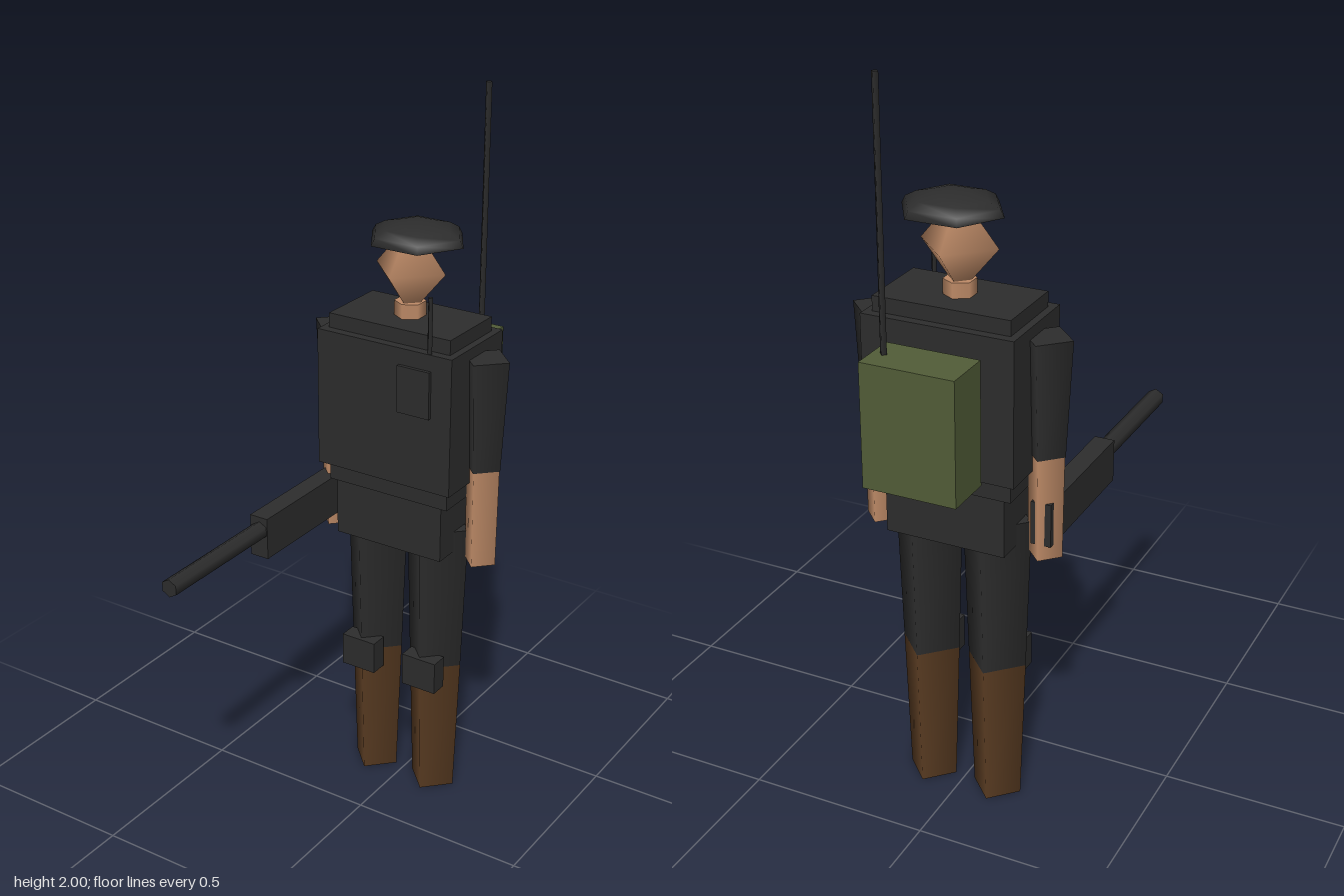
import * as THREE from 'three';

export function createModel() {
  const model = new THREE.Group();
  const Z = -0.235; // body centre line

  const material = (name, color) => {
    const m = new THREE.MeshStandardMaterial({ color });
    m.name = name;
    return m;
  };
  const charcoal = material('charcoal', 0x2d2d2d);
  const skin = material('skin', 0xc08c68);
  const leather = material('brown leather', 0x5a3c22);
  const olive = material('olive', 0x525d38);

  const add = (name, geometry, mat, x, y, z) => {
    const mesh = new THREE.Mesh(geometry, mat);
    mesh.name = name;
    mesh.position.set(x, y, z);
    model.add(mesh);
    return mesh;
  };
  const box = (name, mat, x0, x1, y0, y1, z0, z1) =>
    add(name, new THREE.BoxGeometry(x1 - x0, y1 - y0, z1 - z0), mat,
      (x0 + x1) / 2, (y0 + y1) / 2, (z0 + z1) / 2);
  // Upright tapered post with a diamond section
  const post = (name, mat, x, z, y0, y1, r0, r1, sides = 4) =>
    add(name, new THREE.CylinderGeometry(r1, r0, y1 - y0, sides), mat, x, (y0 + y1) / 2, z);

  // Body
  box('hips', charcoal, -0.165, 0.165, 0.78, 0.94, -0.335, -0.135);
  box('torso', charcoal, -0.185, 0.185, 0.94, 1.42, -0.34, -0.13);
  box('vest', charcoal, -0.205, 0.205, 0.995, 1.38, -0.365, -0.105);
  box('chestPouch', charcoal, 0.048, 0.145, 1.205, 1.335, -0.12, -0.095);
  post('pouchAerial', charcoal, 0.135, -0.113, 1.32, 1.53, 0.007, 0.007);

  // Limbs
  for (const [side, s] of [['left', 1], ['right', -1]]) {
    post(side + 'Sleeve', charcoal, s * 0.232, Z, 1.04, 1.35, 0.052, 0.068);
    post(side + 'Forearm', skin, s * 0.232, Z, 0.76, 1.04, 0.047, 0.05);
    post(side + 'Thigh', charcoal, s * 0.097, Z, 0.41, 0.84, 0.083, 0.097);
    post(side + 'Boot', leather, s * 0.097, Z, 0, 0.41, 0.069, 0.083);
    box(side + 'KneePad', charcoal, s * 0.1 - 0.053, s * 0.1 + 0.053, 0.355, 0.45, -0.19, -0.14);
  }

  // Head and neck
  post('neck', skin, 0, Z, 1.41, 1.46, 0.042, 0.042, 6);
  add('head', new THREE.SphereGeometry(0.105, 4, 2), skin, 0, 1.548, Z).scale.y = 1.2;

  // Six-sided cap with a closed underside
  const cap = add('cap', new THREE.SphereGeometry(0.137, 6, 4, 0, Math.PI * 2, 0, Math.PI / 2),
    charcoal, 0.018, 1.627, Z);
  cap.scale.set(1, 0.36, 0.94);
  const under = new THREE.Mesh(new THREE.CircleGeometry(0.137, 6), charcoal);
  under.name = 'capUnderside';
  under.rotation.x = Math.PI / 2;
  cap.add(under);

  // Radio pack
  box('radioPack', olive, -0.126, 0.126, 0.995, 1.325, -0.514, -0.38);
  post('radioAerial', charcoal, 0.095, -0.447, 1.3, 2, 0.009, 0.009);

  // Gun in the right hand
  box('gunBody', charcoal, -0.262, -0.207, 0.8, 0.918, -0.27, 0.135);
  const barrel = add('gunBarrel', new THREE.CylinderGeometry(0.025, 0.025, 0.4, 6),
    charcoal, -0.232, 0.88, 0.315);
  barrel.rotation.x = Math.PI / 2;

  return model;
}
